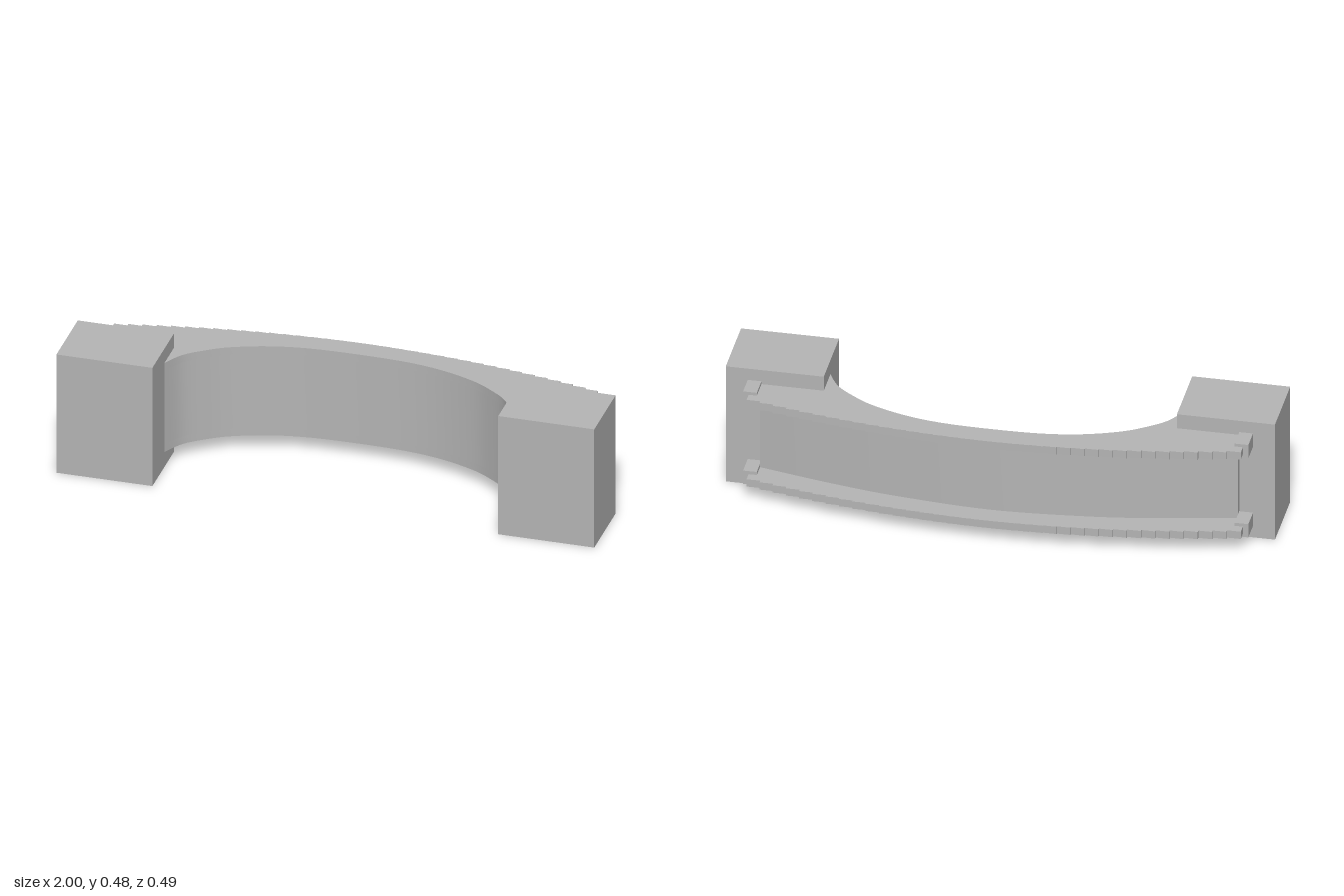
import * as THREE from 'three';
import { toCreasedNormals } from 'three/addons/utils/BufferGeometryUtils.js';

const V = (x, z) => new THREE.Vector2(x, z);

// Symmetric smooth curve from +x to -x, given the points of the +x half (ending on x = 0)
function mirroredCurve(half, count) {
  const other = half.slice(0, -1).reverse().map(([x, z]) => [-x, z]);
  const pts = [...half, ...other].map(([x, z]) => V(x, z));
  return new THREE.SplineCurve(pts).getPoints(count);
}

export function createModel() {
  const model = new THREE.Group();
  model.name = 'archedBeam';
  const grey = new THREE.MeshStandardMaterial({ color: 0xb5b5b5 });
  grey.name = 'concreteGrey';

  const add = (name, geometry, x = 0, y = 0, z = 0) => {
    const mesh = new THREE.Mesh(geometry, grey);
    mesh.name = name;
    mesh.position.set(x, y, z);
    model.add(mesh);
  };

  // Plan outline (x, z) extruded vertically between two heights
  const slab = (name, outline, bottom, top) => {
    const geo = new THREE.ExtrudeGeometry(new THREE.Shape(outline), { depth: top - bottom, bevelEnabled: false });
    geo.rotateX(Math.PI / 2);
    add(name, toCreasedNormals(geo, 0.35), 0, top, 0);
  };

  // Concave front shared by the web and the flanges
  const front = mirroredCurve([[0.645, 0.1], [0.6, 0.022], [0.53, -0.037], [0.45, -0.085],
    [0.32, -0.131], [0.18, -0.155], [0, -0.161]], 48);
  // Shallow curved back of the web
  const back = mirroredCurve([[0.87, -0.047], [0.6, -0.105], [0.35, -0.145], [0, -0.17]], 40).reverse();
  // Ends tucked into the blocks
  const leftEnd = (x) => [V(x, 0), V(0.72, 0), V(0.72, 0.1)];
  const rightEnd = (x) => [V(-0.72, 0.1), V(-0.72, 0), V(-x, 0)];

  slab('web', [...leftEnd(0.87), ...front, ...rightEnd(0.87), ...back], 0.09, 0.39);

  // Stepped back edge of the flanges
  const steps = [];
  const count = 36, width = 1.8 / count;
  for (let i = 0; i < count; i++) {
    const x0 = -0.9 + i * width, x1 = x0 + width;
    const far = Math.max(Math.abs(x0), Math.abs(x1));
    const z = -0.247 + 0.133 * far * far;
    steps.push(V(x0, z), V(x1, z));
  }
  const flange = [...leftEnd(0.9), ...front, ...rightEnd(0.9), ...steps];
  slab('lowerFlange', flange, 0.06, 0.09);
  slab('upperFlange', flange, 0.39, 0.42);

  // End blocks and the small caps on the flange ends
  for (const [side, s] of [['left', 1], ['right', -1]]) {
    add(side + 'EndBlock', new THREE.BoxGeometry(0.357, 0.478, 0.269), s * 0.8215, 0.239, 0.1135);
    for (const [level, y] of [['Lower', 0.075], ['Upper', 0.404]]) {
      add(side + level + 'Cap', new THREE.BoxGeometry(0.05, 0.055, 0.105), s * 0.895, y, -0.0505);
    }
  }
  return model;
}
